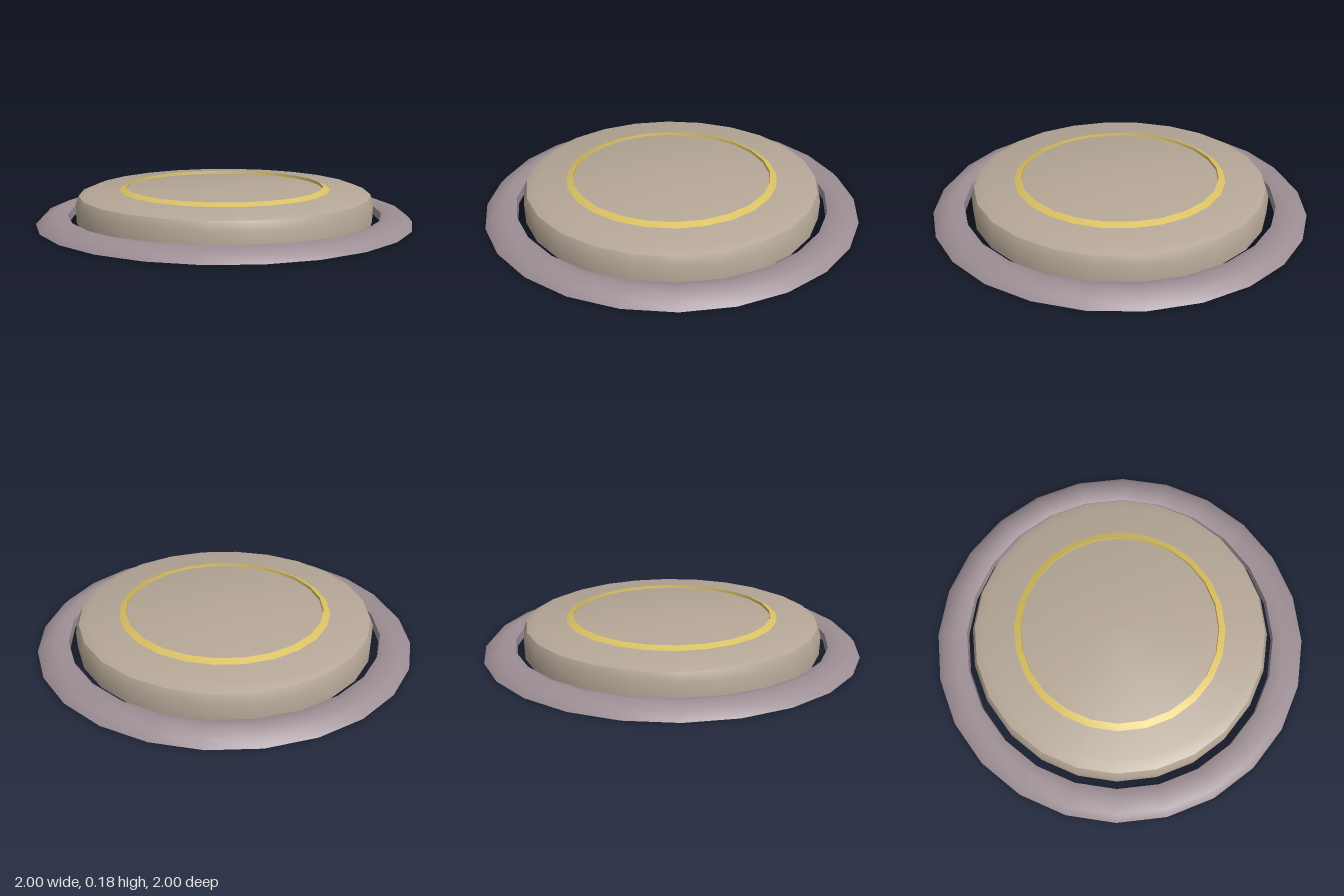
import * as THREE from 'three';
import { toCreasedNormals } from 'three/addons/utils/BufferGeometryUtils.js';

const SIDES = 24;

// Revolves a [radius, height] profile, keeping sharp corners sharp
function turned(name, profile, material) {
  const points = profile.map(([r, y]) => new THREE.Vector2(r, y));
  const geometry = toCreasedNormals(new THREE.LatheGeometry(points, SIDES), 0.75);
  const mesh = new THREE.Mesh(geometry, material);
  mesh.name = name;
  return mesh;
}

export function createModel() {
  const stone = new THREE.MeshStandardMaterial({ color: 0xb5a797 });
  stone.name = 'warm stone';
  const mauve = new THREE.MeshStandardMaterial({ color: 0x9c8e94, side: THREE.DoubleSide });
  mauve.name = 'mauve grey';
  const gold = new THREE.MeshStandardMaterial({ color: 0xd9c062, side: THREE.DoubleSide });
  gold.name = 'gold';

  const model = new THREE.Group();
  model.name = 'roundPlate';

  // Low surrounding rim: a hollow shell, open underneath
  model.add(turned('outerRim', [
    [1, 0], [0.965, 0.036], [0.89, 0.06], [0.835, 0.042], [0.83, 0],
  ], mauve));

  // Solid disc with a rounded shoulder
  model.add(turned('disc', [
    [0, 0], [0.79, 0], [0.793, 0.1], [0.775, 0.143], [0.72, 0.165], [0, 0.165],
  ], stone));

  // Raised inlay ring, sloping outwards
  model.add(turned('inlayRing', [
    [0.565, 0.164], [0.527, 0.18], [0.525, 0.164],
  ], gold));

  return model;
}
